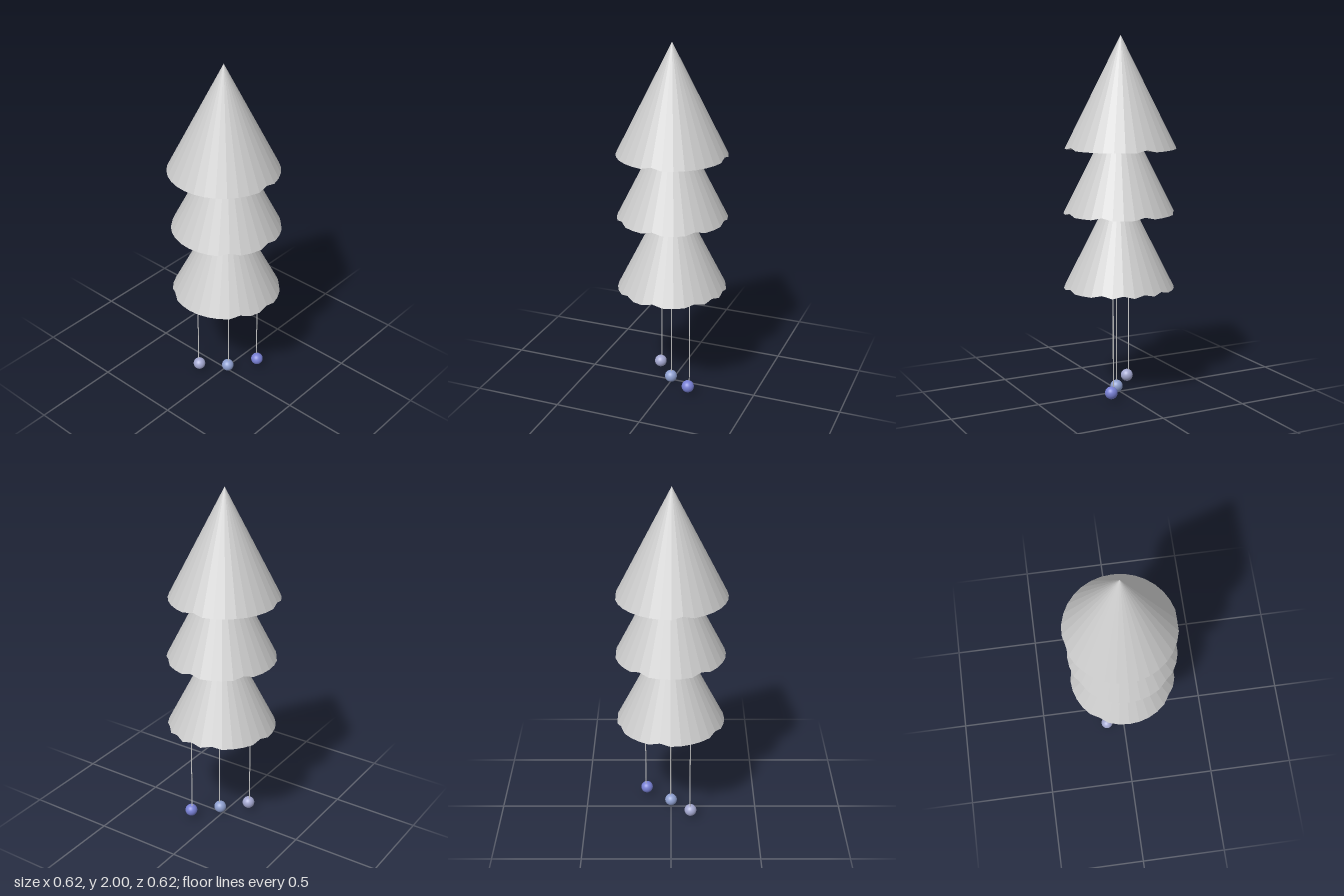
import * as THREE from 'three';

const SIDES = 32;
const grey = () => new THREE.MeshStandardMaterial({ color: 0xcccccc, flatShading: true });

// Closed cone whose rim is nicked upward along the slope at the given corners
function makeTier(name, x, z, baseY, nicks) {
  const height = 0.612, radius = 0.307;
  const geo = new THREE.ConeGeometry(radius, height, SIDES, 1);
  geo.translate(0, -height / 2, 0); // apex at the origin
  const p = geo.attributes.position;
  for (let i = 0; i < p.count; i++) {
    const px = p.getX(i), pz = p.getZ(i);
    if (Math.hypot(px, pz) < 0.1) continue;
    const corner = (Math.round(Math.atan2(px, pz) / (2 * Math.PI) * SIDES) + SIDES) % SIDES;
    if (nicks.includes(corner)) {
      p.setXYZ(i, px * 0.978, p.getY(i) * 0.978, pz * 0.978);
    }
  }
  const mesh = new THREE.Mesh(geo, grey());
  mesh.position.set(x, baseY + height, z);
  mesh.name = name;
  return mesh;
}

// Thin cord with a coloured bead at its end
function makePendant(name, cordX, cordZ, ballX, ballY, ballZ, color) {
  const group = new THREE.Group();
  group.name = name;
  const top = 0.62;
  const cord = new THREE.Mesh(new THREE.CylinderGeometry(0.003, 0.003, top - ballY, 8), grey());
  cord.position.set(cordX, (top + ballY) / 2, cordZ);
  cord.name = 'cord';
  const bead = new THREE.Mesh(
    new THREE.SphereGeometry(0.035, 32, 20),
    new THREE.MeshStandardMaterial({ color })
  );
  bead.position.set(ballX, ballY, ballZ);
  bead.name = 'bead';
  group.add(cord, bead);
  return group;
}

export function createModel() {
  const model = new THREE.Group();
  model.name = 'hangingTree';

  // Three stacked cones
  model.add(
    makeTier('topTier', -0.004, -0.008, 1.388, [0, 8, 17]),
    makeTier('middleTier', 0.003, 0.005, 1.032, [0, 4, 8, 13, 19, 28]),
    makeTier('bottomTier', 0.003, 0.006, 0.612, [0, 4, 6, 8, 10, 15, 21, 29])
  );

  // Three pendants hanging below
  model.add(
    makePendant('leftPendant', 0.15, 0.117, 0.145, 0.054, 0.127, 0x7880d4),
    makePendant('middlePendant', 0.004, 0.023, 0, 0.036, 0.02, 0x8fa0d0),
    makePendant('rightPendant', -0.11, -0.115, -0.114, 0.05, -0.106, 0xa4a8d0)
  );
  return model;
}
